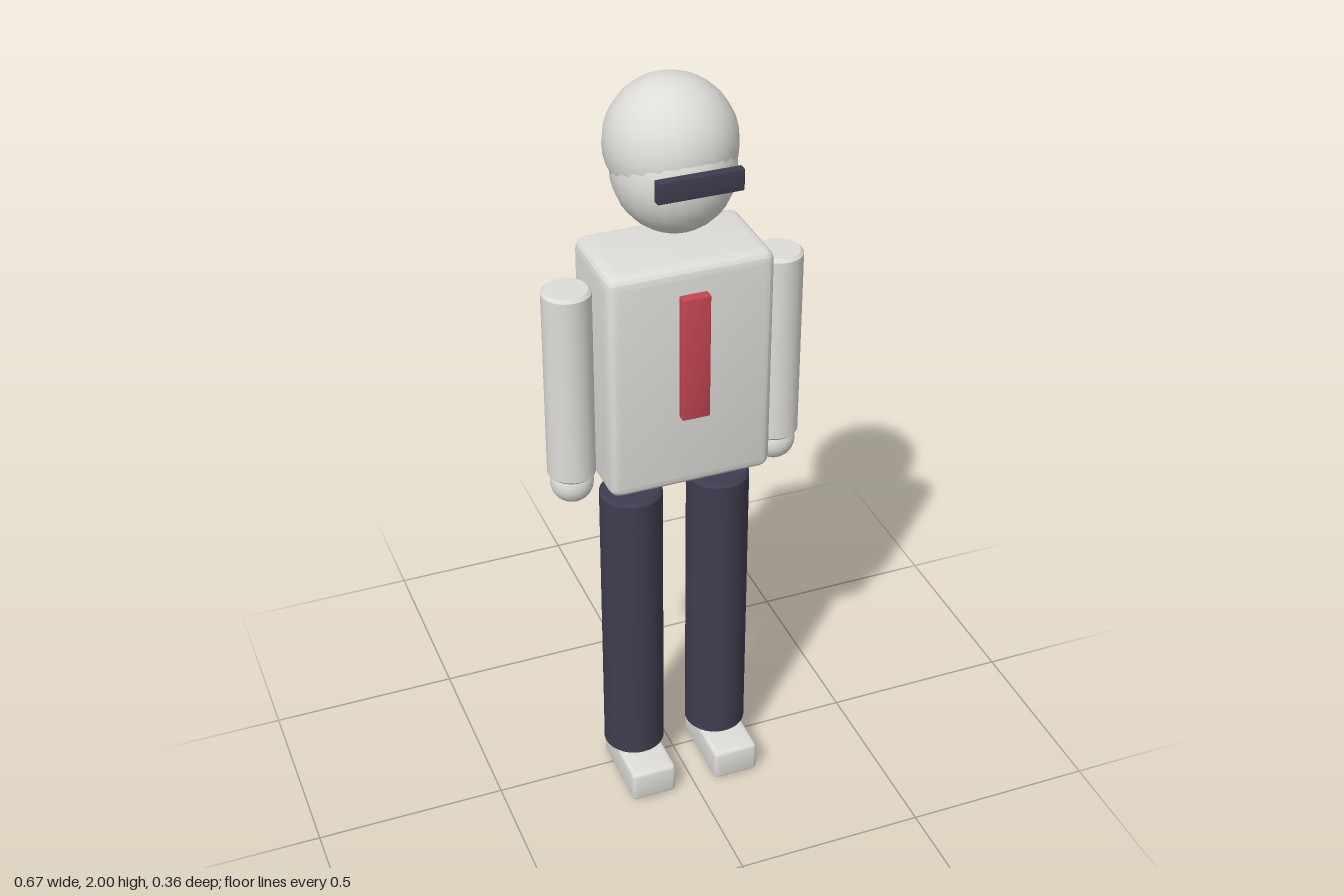
import * as THREE from 'three';
import { RoundedBoxGeometry } from 'three/addons/geometries/RoundedBoxGeometry.js';
import { toCreasedNormals } from 'three/addons/utils/BufferGeometryUtils.js';

const offWhite = new THREE.MeshStandardMaterial({ name: 'offWhite', color: 0xdddcd8 });
const darkNavy = new THREE.MeshStandardMaterial({ name: 'darkNavy', color: 0x403c50 });
const red = new THREE.MeshStandardMaterial({ name: 'red', color: 0xc44652 });

export function createModel() {
  const model = new THREE.Group();
  model.name = 'standingFigure';

  const add = (name, geometry, material, x, y, z) => {
    const mesh = new THREE.Mesh(geometry, material);
    mesh.name = name;
    mesh.position.set(x, y, z);
    model.add(mesh);
    return mesh;
  };

  const roundedBox = (w, h, d, r) =>
    toCreasedNormals(new RoundedBoxGeometry(w, h, d, 2, r), 0.3);

  // Upright cylinder with a narrow bevel on both rims
  const bevelledCylinder = (radius, height, bevel) => {
    const h = height / 2;
    const profile = [
      [0, -h], [radius - bevel, -h], [radius, -h + bevel],
      [radius, h - bevel], [radius - bevel, h], [0, h],
    ].map(([x, y]) => new THREE.Vector2(x, y));
    return toCreasedNormals(new THREE.LatheGeometry(profile, 28), 0.6);
  };

  const ellipsoid = (rx, ry, rz) =>
    new THREE.SphereGeometry(1, 24, 18).scale(rx, ry, rz);

  // Head: face with a rounder hair cap over the crown and back
  add('face', ellipsoid(0.15, 0.158, 0.155), offWhite, 0, 1.785, 0.003);
  add('hairCap', ellipsoid(0.16, 0.16, 0.162), offWhite, 0, 1.84, -0.016);
  add('glasses', roundedBox(0.212, 0.055, 0.023, 0.004), darkNavy, 0, 1.81, 0.166);

  // Body
  add('torso', roundedBox(0.424, 0.615, 0.257, 0.03), offWhite, 0, 1.278, 0.006);
  add('tie', roundedBox(0.072, 0.335, 0.03, 0.004), red, 0, 1.347, 0.142);

  // Limbs, mirrored
  for (const [side, s] of [['left', 1], ['right', -1]]) {
    add(side + 'Arm', bevelledCylinder(0.061, 0.521, 0.008), offWhite, s * 0.272, 1.255, 0.007);
    add(side + 'Hand', ellipsoid(0.055, 0.055, 0.055), offWhite, s * 0.272, 0.972, 0.007);
    add(side + 'Leg', bevelledCylinder(0.081, 0.827, 0.008), darkNavy, s * 0.118, 0.4985, 0.01);
    add(side + 'Shoe', roundedBox(0.124, 0.09, 0.232, 0.014), offWhite, s * 0.118, 0.045, 0.056);
  }

  return model;
}
